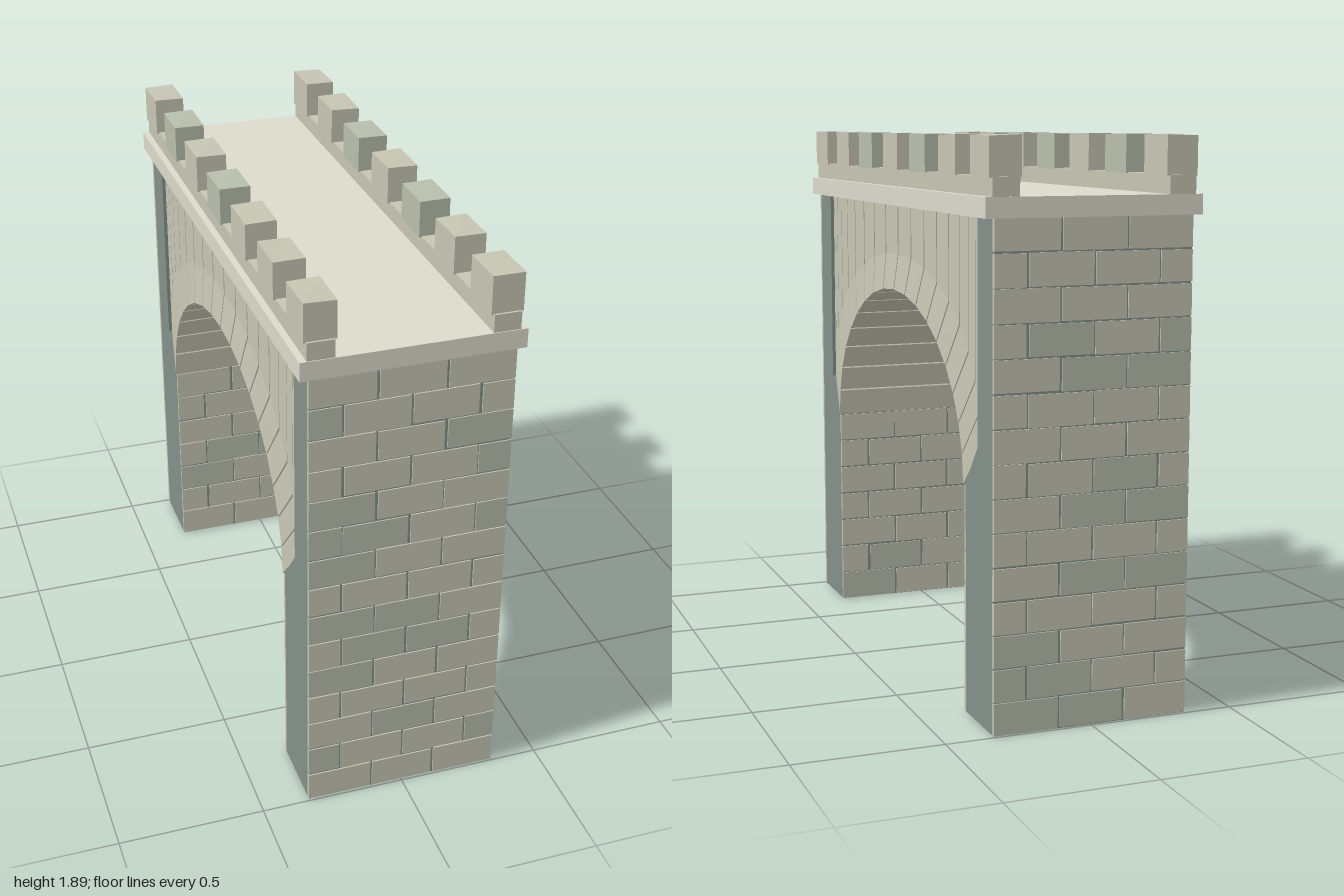
import * as THREE from 'three';

const mat = (color) => new THREE.MeshStandardMaterial({ color, flatShading: true });
const stone = mat(0xc6c5b3), paleStone = mat(0xdcdacb), greenStone = mat(0xb8beac), mortar = mat(0x84908a);

// Small seeded generator for slight irregularity
function seeded(seed) {
  return () => (seed = (seed * 16807) % 2147483647) / 2147483647;
}

export function createModel() {
  const root = new THREE.Group();
  root.name = 'archedBridge';
  const rand = seeded(41);

  const add = (parent, geometry, material, name) => {
    const mesh = new THREE.Mesh(geometry, material);
    mesh.name = name;
    parent.add(mesh);
    return mesh;
  };
  const box = (parent, name, material, x0, x1, y0, y1, z0, z1) => {
    const m = add(parent, new THREE.BoxGeometry(x1 - x0, y1 - y0, z1 - z0), material, name);
    m.position.set((x0 + x1) / 2, (y0 + y1) / 2, (z0 + z1) / 2);
    return m;
  };

  const HALF = 0.335, TOP = 1.64, ROW = TOP / 15, JOINT = 0.002;

  // Running-bond bricks on a face at depth z, alternating three and four to a row
  function brickFace(parent, rows, z0, z1) {
    for (let r = 0; r < rows; r++) {
      const cuts = r % 2 ? [-0.336, -0.225, 0, 0.225, 0.336] : [-0.336, -0.113, 0.113, 0.336];
      for (let i = 0; i < cuts.length - 1; i++) {
        const a = cuts[i] + (i ? JOINT + rand() * 0.004 : 0);
        const b = cuts[i + 1] - (i < cuts.length - 2 ? JOINT + rand() * 0.004 : 0);
        box(parent, 'brick', rand() < 0.25 ? greenStone : stone,
          a, b, r * ROW + 0.001 + rand() * 0.004, (r + 1) * ROW - 0.001 - rand() * 0.003, z0, z1);
      }
    }
  }

  // Piers: a notched core that receives the arch, faced with bricks
  for (const side of [1, -1]) {
    const pier = new THREE.Group();
    pier.name = side > 0 ? 'frontPier' : 'backPier';
    const profile = new THREE.Shape([
      [0.73, 0], [0.99, 0], [0.99, TOP], [0.845, TOP], [0.845, 0.905], [0.73, 0.765],
    ].map(([z, y]) => new THREE.Vector2(-z, y)));
    const core = new THREE.ExtrudeGeometry(profile, { depth: HALF * 2, bevelEnabled: false });
    core.translate(0, 0, -HALF).rotateY(Math.PI / 2);
    add(pier, core, mortar, 'pierCore');
    brickFace(pier, 15, 0.98, 0.995);
    brickFace(pier, 7, 0.725, 0.738);
    if (side < 0) pier.rotation.y = Math.PI;
    root.add(pier);
  }

  // Arch stones: the lower part fans around the ellipse, the upper part rises to the deck
  const arch = new THREE.Group();
  arch.name = 'arch';
  const rad = Math.PI / 180;
  const inner = (t) => [0.727 * Math.sin(t), 0.765 + 0.567 * Math.max(0, Math.cos(t))];
  const outer = (t) => [0.843 * Math.sin(t), 0.905 + 0.555 * Math.pow(Math.max(0, Math.cos(t)), 0.93)];
  for (let i = -9; i < 9; i++) {
    const t0 = (i * 10 + (i === -9 ? 0 : 0.3)) * rad;
    const t1 = ((i + 1) * 10 - (i === 8 ? 0 : 0.3)) * rad;
    const g = new THREE.BoxGeometry(1, 1, 1, 1, 2, 1);
    const p = g.attributes.position;
    for (let k = 0; k < p.count; k++) {
      const t = p.getZ(k) < 0 ? t0 : t1;
      const h = p.getY(k);
      const [z, y] = h < -0.25 ? inner(t) : outer(t);
      const reach = h < -0.25 ? 0.341 : 0.323;
      p.setXYZ(k, Math.sign(p.getX(k)) * reach, h > 0.25 ? TOP : y, z);
    }
    g.computeVertexNormals();
    add(arch, g, stone, 'archStone');
  }
  root.add(arch);

  // Deck slab
  box(root, 'deck', paleStone, -0.366, 0.366, 1.635, 1.7, -1, 1);

  // Parapets with seven slightly uneven merlons each
  for (const side of [1, -1]) {
    const parapet = new THREE.Group();
    parapet.name = side > 0 ? 'leftParapet' : 'rightParapet';
    const cx = side * 0.298;
    box(parapet, 'parapetWall', stone, cx - 0.045, cx + 0.045, 1.695, 1.76, -0.997, 0.997);
    for (let i = -3; i <= 3; i++) {
      const m = box(parapet, 'merlon', rand() < 0.2 ? greenStone : stone,
        cx - 0.053, cx + 0.053, 1.757, 1.887, i * 0.302 - 0.083, i * 0.302 + 0.083);
      // Vary the height of the four top corners
      const drop = [0, 1, 2, 3].map(() => rand() * 0.005);
      const p = m.geometry.attributes.position;
      for (let k = 0; k < p.count; k++) {
        if (p.getY(k) > 0) p.setY(k, p.getY(k) - drop[(p.getX(k) > 0 ? 1 : 0) + (p.getZ(k) > 0 ? 2 : 0)]);
      }
      m.geometry.computeVertexNormals();
    }
    root.add(parapet);
  }

  return root;
}
